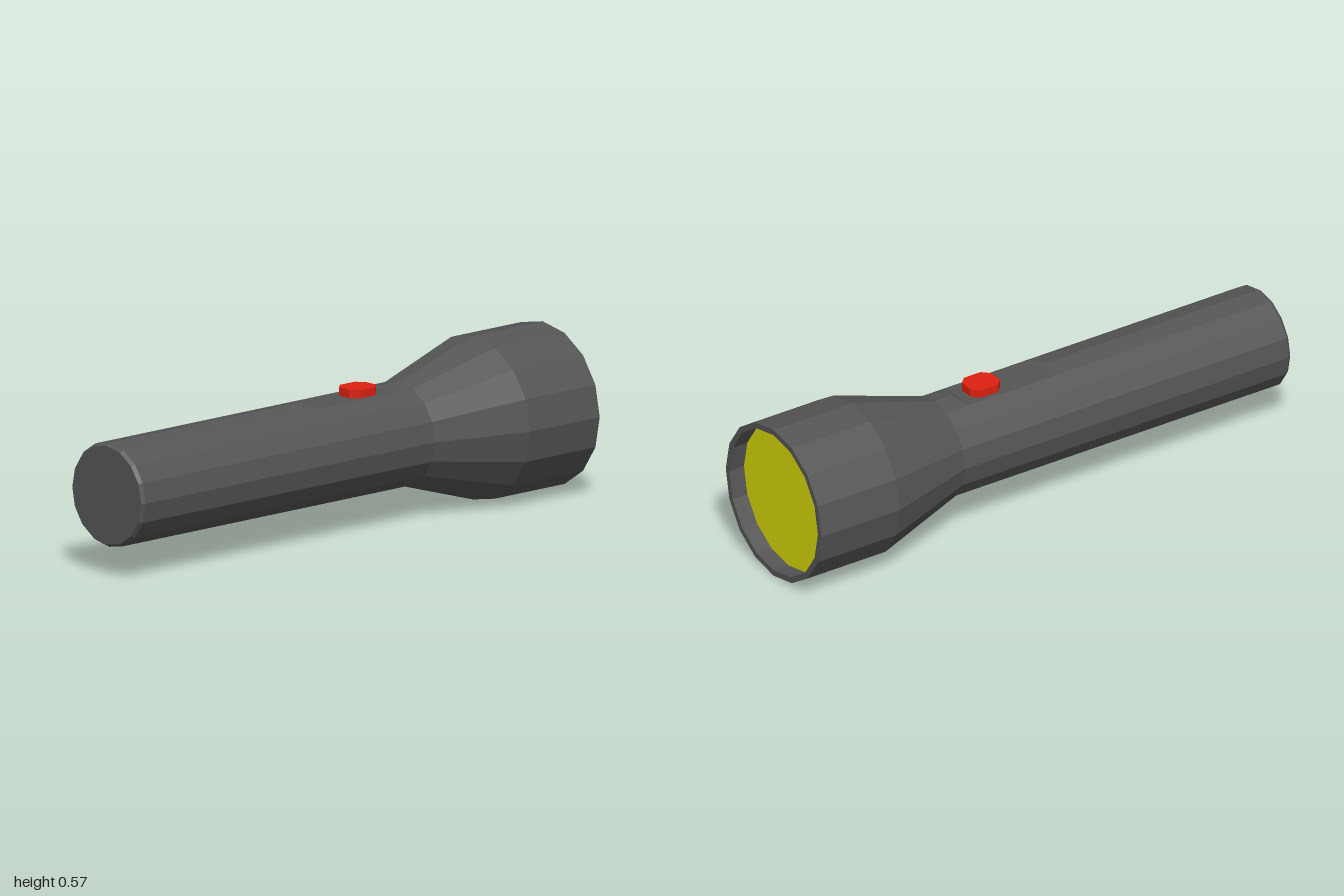
import * as THREE from 'three';

const SIDES = 16, AXIS_Y = 0.283, TUBE_R = 0.18, LENS_R = 0.262;
const FLOOR = TUBE_R * Math.cos(Math.PI * 2 / SIDES); // flat height of the switch recess
const RECESS_BACK = -0.245, RECESS_FRONT = 0.09, GAP = 0.001, SLOPE = 0.026;

const material = (color) => new THREE.MeshStandardMaterial({ color, flatShading: true });

function addMesh(group, name, geometry, color) {
  const flat = geometry.index ? geometry.toNonIndexed() : geometry;
  flat.computeVertexNormals();
  const mesh = new THREE.Mesh(flat, material(color));
  mesh.name = name;
  group.add(mesh);
  return mesh;
}

// Body turned around z: lens well, rim, head, flare, tube, bevelled end cap
function bodyGeometry() {
  const profile = [
    [LENS_R, -0.94], [LENS_R, -1], [0.283, -1], [0.283, -0.68], [TUBE_R, -0.34],
    [TUBE_R, RECESS_BACK - GAP], [TUBE_R, RECESS_BACK],
    [TUBE_R, RECESS_FRONT], [TUBE_R, RECESS_FRONT + GAP],
    [TUBE_R, 0.988], [0.171, 1], [0, 1],
  ].map(([r, z]) => new THREE.Vector2(r, z));
  const geometry = new THREE.LatheGeometry(profile, SIDES);
  geometry.rotateX(Math.PI / 2);

  // Press the top ridge flat between the recess ends, with sloped triangular ends
  const pos = geometry.attributes.position;
  const near = (a, b) => Math.abs(a - b) < 1e-4;
  for (let i = 0; i < pos.count; i++) {
    if (!near(pos.getX(i), 0) || !near(pos.getY(i), TUBE_R)) continue;
    const z = pos.getZ(i);
    if (near(z, RECESS_BACK) || near(z, RECESS_FRONT)) pos.setY(i, FLOOR);
    if (near(z, RECESS_BACK - GAP)) pos.setZ(i, z - SLOPE);
    if (near(z, RECESS_FRONT + GAP)) pos.setZ(i, z + SLOPE);
  }
  return geometry;
}

// Octagonal sliding button
function buttonGeometry(halfX, halfZ, cut, height) {
  const shape = new THREE.Shape([
    [halfX, cut - halfZ], [halfX, halfZ - cut], [halfX - cut, halfZ], [cut - halfX, halfZ],
    [-halfX, halfZ - cut], [-halfX, cut - halfZ], [cut - halfX, -halfZ], [halfX - cut, -halfZ],
  ].map(([x, y]) => new THREE.Vector2(x, y)));
  const geometry = new THREE.ExtrudeGeometry(shape, { depth: height, bevelEnabled: false });
  return geometry.rotateX(-Math.PI / 2);
}

export function createModel() {
  const model = new THREE.Group();
  model.name = 'flashlight';

  addMesh(model, 'body', bodyGeometry(), 0x555555).position.y = AXIS_Y;

  const lens = addMesh(model, 'lens', new THREE.CircleGeometry(LENS_R, SIDES).rotateY(Math.PI), 0xd8d80c);
  lens.position.set(0, AXIS_Y, -0.94);

  const button = addMesh(model, 'switchButton', buttonGeometry(0.052, 0.06, 0.026, 0.033), 0xdd2010);
  button.position.set(0, 0.445, -0.15);

  return model;
}
